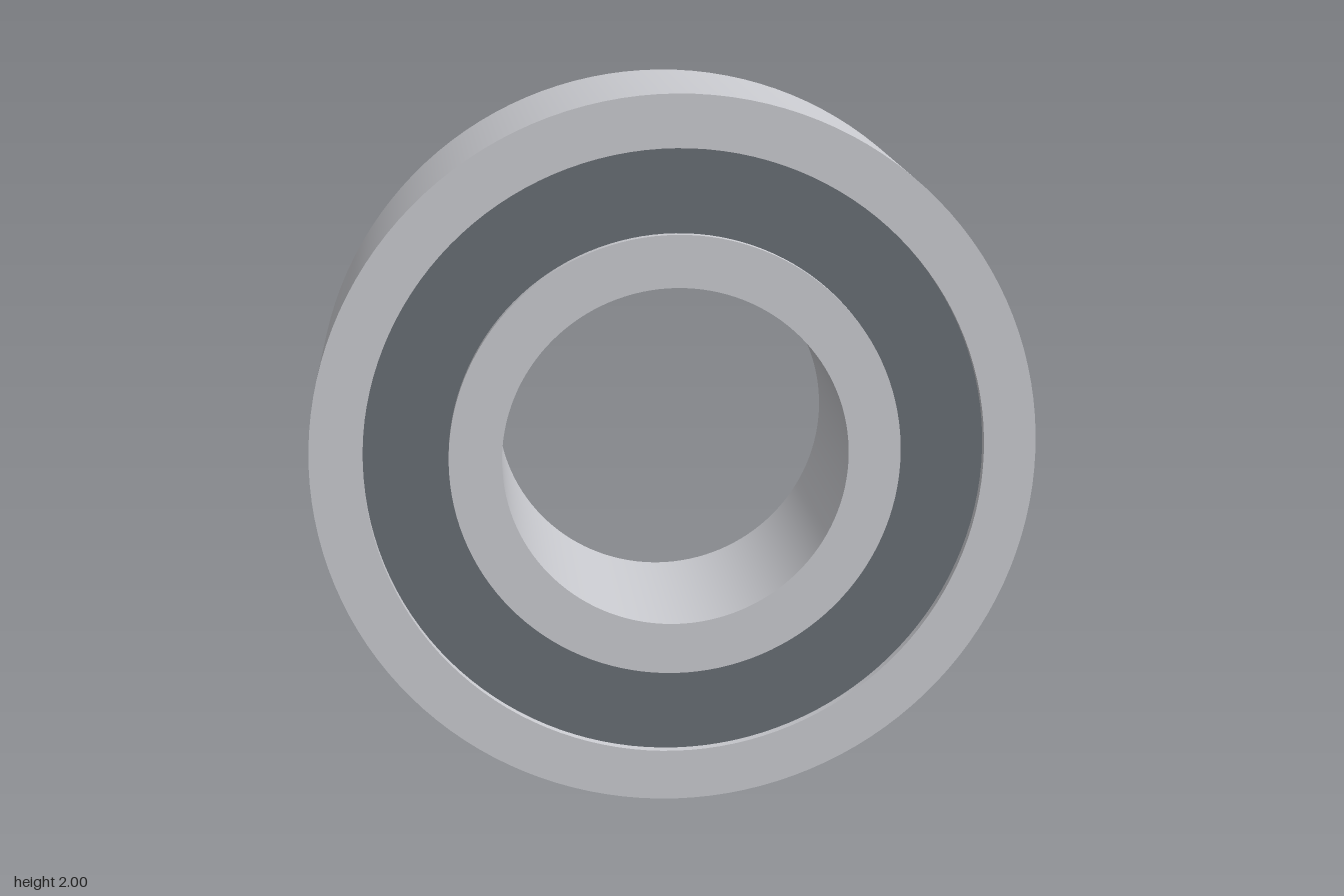
import * as THREE from 'three';
import { toCreasedNormals } from 'three/addons/utils/BufferGeometryUtils.js';

const HALF_WIDTH = 0.285;
const SEAL_RECESS = 0.025;

const steel = new THREE.MeshStandardMaterial({ color: 0xcacbd0 });
steel.name = 'steel';
const sealGrey = new THREE.MeshStandardMaterial({ color: 0x686e75 });
sealGrey.name = 'sealGrey';

// Closed rectangular section revolved about the z axis, with sharp rims
function ring(name, inner, outer, z0, z1, material) {
  const section = [[inner, z0], [outer, z0], [outer, z1], [inner, z1], [inner, z0]]
    .map(([r, z]) => new THREE.Vector2(r, z));
  const lathe = new THREE.LatheGeometry(section, 128);
  lathe.rotateX(Math.PI / 2);
  const mesh = new THREE.Mesh(toCreasedNormals(lathe, Math.PI / 6), material);
  mesh.name = name;
  mesh.position.y = 1;
  return mesh;
}

export function createModel() {
  const group = new THREE.Group();
  group.name = 'ballBearing';

  // Outer and inner races
  group.add(ring('outerRace', 0.855, 1, -HALF_WIDTH, HALF_WIDTH, steel));
  group.add(ring('innerRace', 0.477, 0.622, -HALF_WIDTH, HALF_WIDTH, steel));

  // Recessed seal filling the gap between the races
  const sealZ = HALF_WIDTH - SEAL_RECESS;
  group.add(ring('seal', 0.622, 0.855, -sealZ, sealZ, sealGrey));

  return group;
}
